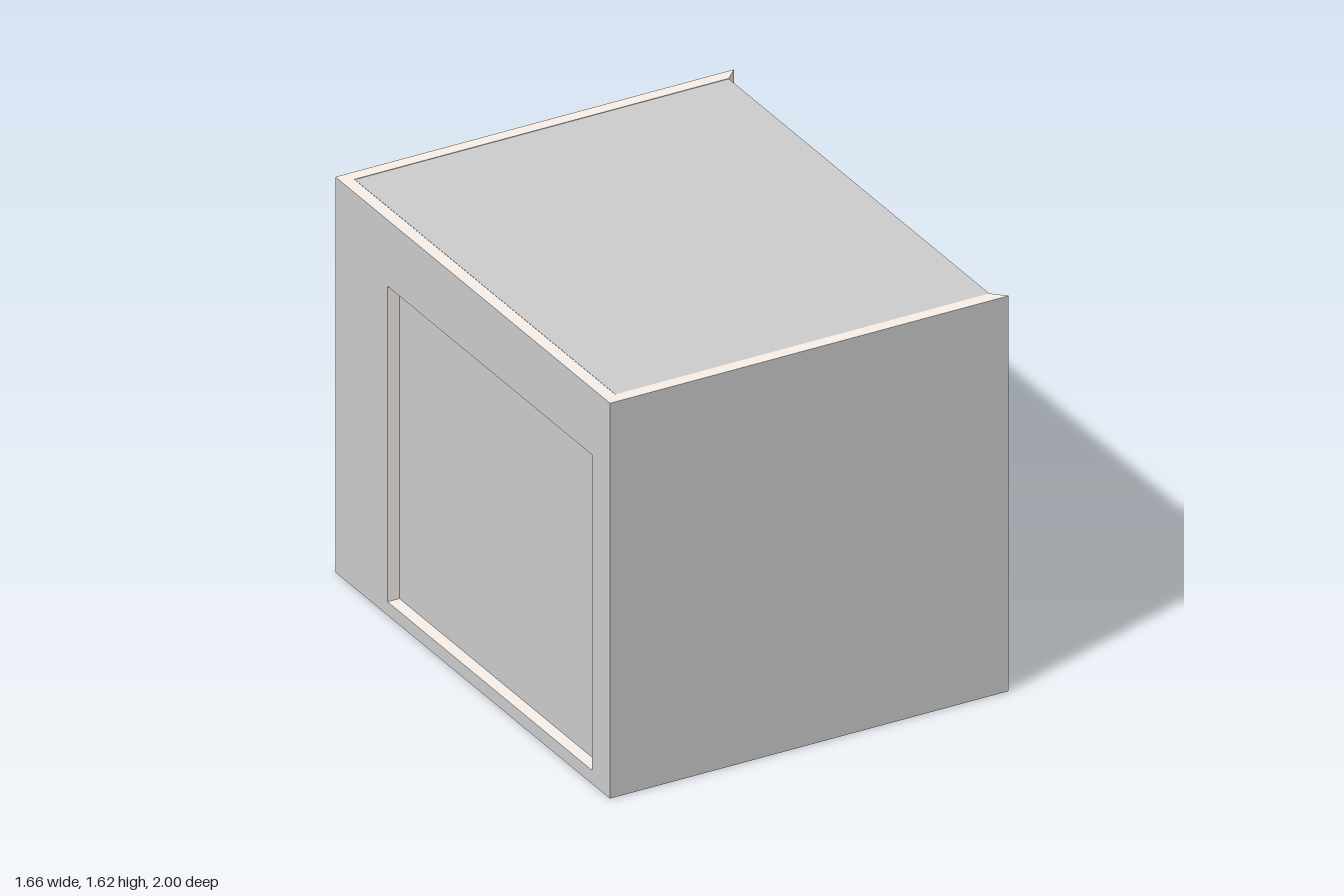
import * as THREE from 'three';

const W = 0.83, H = 1.62, D = 1, T = 0.05;

export function createModel() {
  const group = new THREE.Group();
  const grey = new THREE.MeshStandardMaterial({ color: 0xcccccc });
  const sheet = new THREE.MeshStandardMaterial({ color: 0xcccccc, side: THREE.DoubleSide });
  const cut = new THREE.MeshStandardMaterial({ color: 0xf7efe6 });

  function add(name, geometry, material, parent = group) {
    const mesh = new THREE.Mesh(geometry, material);
    mesh.name = name;
    parent.add(mesh);
    return mesh;
  }

  // Pull the inner edge of a wall in by its thickness to mitre both ends
  function mitre(geometry, half, innerZ) {
    const p = geometry.attributes.position;
    for (let i = 0; i < p.count; i++) {
      if (Math.abs(p.getZ(i) - innerZ) < 1e-4 && Math.abs(p.getX(i)) > half - 1e-4) {
        p.setX(i, Math.sign(p.getX(i)) * (half - T));
      }
    }
    geometry.computeVertexNormals();
    return geometry;
  }

  // Front and back walls: plain faces, pale cut edges
  for (const s of [1, -1]) {
    const geometry = mitre(new THREE.BoxGeometry(2 * W, H, T), W, -T / 2);
    const wall = add(s > 0 ? 'frontWall' : 'backWall', geometry, [cut, cut, cut, cut, grey, grey]);
    wall.position.set(0, H / 2, s * (D - T / 2));
    if (s < 0) wall.rotation.y = Math.PI;
  }

  // Side walls: a frame around a recess, closed by an inner lining
  function sideWall(name, s, height, u0, u1, y0, y1) {
    const side = new THREE.Group();
    side.name = name;
    const shape = new THREE.Shape();
    shape.moveTo(-D, 0).lineTo(D, 0).lineTo(D, height).lineTo(-D, height).closePath();
    const hole = new THREE.Path();
    hole.moveTo(u0, y0).lineTo(u0, y1).lineTo(u1, y1).lineTo(u1, y0).closePath();
    shape.holes.push(hole);
    const frame = new THREE.ExtrudeGeometry(shape, { depth: T, bevelEnabled: false });
    add(name + 'Frame', mitre(frame, D, 0), [grey, cut], side);
    const lining = add(name + 'RecessPanel', new THREE.PlaneGeometry(2 * (D - T), height), sheet, side);
    lining.position.set(0, height / 2, -0.001);
    side.position.x = s * (W - T);
    side.rotation.y = s * Math.PI / 2;
    group.add(side);
  }
  // The wall on +x stops short of the top, leaving an open slot
  sideWall('slottedWall', 1, 1.387, -0.93, 0.92, 0.3, 1.37);
  sideWall('fullWall', -1, H, -0.62, 0.87, 0.055, 1.348);

  // Thin lid sheet set just below the rim
  const lid = add('topPanel', new THREE.PlaneGeometry(2 * (W - T), 2 * (D - T)), sheet);
  lid.rotation.x = -Math.PI / 2;
  lid.position.y = H - 0.002;

  // Floor, pale underneath
  const floor = add('bottomPanel', new THREE.BoxGeometry(2 * (W - T), 0.004, 2 * (D - T)),
    [grey, grey, grey, cut, grey, grey]);
  floor.position.y = 0.004;

  return group;
}
